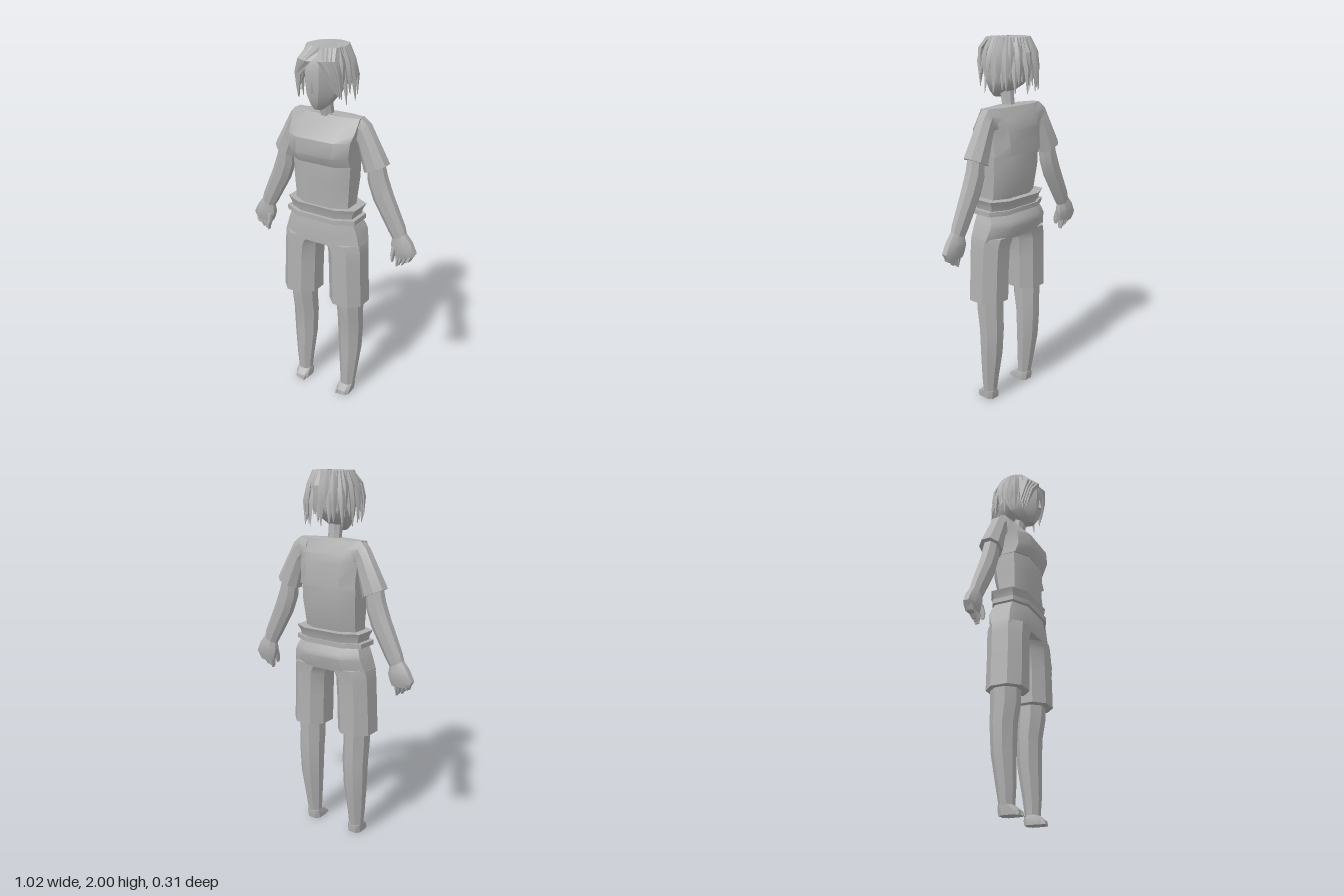
import * as THREE from 'three';
import { toCreasedNormals } from 'three/addons/utils/BufferGeometryUtils.js';

const skin = new THREE.MeshStandardMaterial({ color: 0xb0b0b0, side: THREE.DoubleSide });
skin.name = 'plain grey';

// Joins rings of equal point count into a closed, outward-facing body.
function loft(rings, crease = 0.6) {
  const n = rings[0].length, pos = [], idx = [];
  rings.flat().forEach(p => pos.push(...p));
  for (let i = 0; i < rings.length - 1; i++)
    for (let j = 0; j < n; j++) {
      const a = i * n + j, b = i * n + (j + 1) % n;
      idx.push(a, a + n, b, b, a + n, b + n);
    }
  const top = (rings.length - 1) * n;
  for (let j = 1; j < n - 1; j++) idx.push(0, j, j + 1, top, top + j + 1, top + j);
  // Signed volume tells whether the faces point inward.
  const v = k => new THREE.Vector3().fromArray(pos, k * 3);
  let volume = 0;
  for (let t = 0; t < idx.length; t += 3)
    volume += v(idx[t]).dot(v(idx[t + 1]).cross(v(idx[t + 2])));
  if (volume < 0) idx.reverse();
  const g = new THREE.BufferGeometry();
  g.setAttribute('position', new THREE.Float32BufferAttribute(pos, 3));
  g.setIndex(idx);
  return toCreasedNormals(g, crease);
}

// Chamfered cross-section spanning (x0,y0)-(x1,y1) and z0..z1.
function section([x0, y0, x1, y1, z0, z1], k = 0.28, side = 1) {
  const uv = [[1, k], [1, 1 - k], [1 - k, 1], [k, 1], [0, 1 - k], [0, k], [k, 0], [1 - k, 0]];
  return uv.map(([u, w]) => [side * (x0 + (x1 - x0) * u), y0 + (y1 - y0) * u, z0 + (z1 - z0) * w]);
}

export function createModel() {
  const model = new THREE.Group();
  model.name = 'figure';
  const add = (name, geometry, parent = model) => {
    const m = new THREE.Mesh(geometry, skin);
    m.name = name;
    parent.add(m);
    return m;
  };
  // Symmetric trunk part from rows of [y, halfWidth, zBack, zFront].
  const trunk = (name, rows, k) =>
    add(name, loft(rows.map(([y, w, b, f]) => section([-w, y, w, y, b, f], k))));
  // Limb from rows of [xOuter, yOuter, xInner, yInner, zBack, zFront].
  const limb = (name, rows, side, k) => add(name, loft(rows.map(r => section(r, k, side))));
  // Upright limb from rows of [y, xOuter, xInner, zBack, zFront].
  const upright = (name, rows, side, k) =>
    limb(name, rows.map(([y, o, i, b, f]) => [o, y, i, y, b, f]), side, k);

  // Trunk
  trunk('shirt chest', [[1.41, 0.175, -0.105, 0.112], [1.46, 0.175, -0.105, 0.138],
    [1.54, 0.182, -0.095, 0.13], [1.58, 0.19, -0.085, 0.09], [1.65, 0.195, -0.05, 0.03],
    [1.655, 0.07, -0.035, 0.03]], 0.2);
  trunk('shirt belly', [[1.15, 0.16, -0.06, 0.1], [1.2, 0.16, -0.075, 0.1],
    [1.32, 0.168, -0.1, 0.112], [1.412, 0.172, -0.1, 0.11]], 0.24);
  trunk('shirt hem', [[1.11, 0.183, -0.085, 0.1], [1.145, 0.188, -0.09, 0.105],
    [1.178, 0.205, -0.105, 0.115]], 0.22);
  trunk('belt', [[1.1, 0.208, -0.095, 0.12], [1.125, 0.208, -0.095, 0.12]], 0.22);
  trunk('shorts seat', [[0.965, 0.232, -0.09, 0.112], [1.04, 0.213, -0.115, 0.112],
    [1.065, 0.203, -0.11, 0.11], [1.11, 0.183, -0.085, 0.105]], 0.24);
  trunk('neck', [[1.6, 0.04, -0.035, 0.03], [1.66, 0.035, -0.022, 0.04],
    [1.75, 0.035, -0.015, 0.06]], 0.3);

  for (const s of [1, -1]) {
    const n = s > 0 ? 'left ' : 'right ';
    // Arms
    limb(n + 'sleeve', [[0.13, 1.65, 0.13, 1.5, -0.07, 0.03], [0.19, 1.652, 0.17, 1.52, -0.06, 0.03],
      [0.228, 1.62, 0.18, 1.5, -0.07, 0.022], [0.335, 1.425, 0.215, 1.372, -0.085, 0.03]], s);
    limb(n + 'arm', [[0.31, 1.44, 0.23, 1.4, -0.065, 0.015], [0.33, 1.36, 0.235, 1.32, -0.07, 0.015],
      [0.365, 1.27, 0.268, 1.23, -0.07, 0.012], [0.44, 1.11, 0.36, 1.07, -0.065, 0],
      [0.455, 1.06, 0.385, 1.03, -0.06, -0.005]], s);
    limb(n + 'hand', [[0.45, 1.075, 0.38, 1.04, -0.06, -0.005], [0.485, 1.03, 0.375, 1.0, -0.068, 0],
      [0.512, 0.975, 0.385, 0.965, -0.066, 0], [0.495, 0.945, 0.395, 0.94, -0.06, -0.005]], s);
    [[0.49, 0.465, 0.92], [0.468, 0.445, 0.9], [0.445, 0.425, 0.895], [0.42, 0.415, 0.885]].forEach(
      ([x, tx, ty], i) => limb(n + 'finger ' + (i + 1), [
        [x + 0.014, 0.965, x - 0.014, 0.965, -0.055, -0.012],
        [(x + tx) / 2 + 0.012, 0.93, (x + tx) / 2 - 0.012, 0.93, -0.045, -0.005],
        [tx + 0.004, ty, tx - 0.004, ty, -0.032, -0.01]], s));
    limb(n + 'thumb', [[0.41, 1.0, 0.385, 0.99, -0.03, 0.0], [0.405, 0.95, 0.384, 0.945, -0.025, 0.01],
      [0.4, 0.915, 0.392, 0.915, -0.012, 0.008]], s);
    // Legs
    upright(n + 'shorts leg', [[0.62, 0.25, 0.05, -0.085, 0.115], [0.8, 0.242, 0.046, -0.085, 0.115],
      [0.92, 0.237, 0.04, -0.088, 0.114], [0.95, 0.235, 0.025, -0.09, 0.113],
      [0.98, 0.23, 0, -0.093, 0.112]], s, 0.27);
    upright(n + 'leg', [[0.045, 0.185, 0.108, -0.022, 0.05], [0.13, 0.195, 0.103, -0.035, 0.055],
      [0.3, 0.212, 0.088, -0.062, 0.055], [0.45, 0.217, 0.082, -0.07, 0.06],
      [0.55, 0.218, 0.083, -0.068, 0.078], [0.66, 0.222, 0.085, -0.07, 0.08]], s, 0.3);
    upright(n + 'foot', [[0, 0.182, 0.103, -0.02, 0.088], [0.022, 0.184, 0.102, -0.024, 0.084],
      [0.05, 0.185, 0.107, -0.024, 0.05]], s, 0.2);
    for (let i = 0; i < 4; i++) {
      const x = 0.116 + i * 0.017;
      upright(n + 'toe ' + (i + 1), [[0, x + 0.008, x - 0.008, 0.06, 0.097 - i * 0.004],
        [0.02, x + 0.007, x - 0.007, 0.06, 0.092 - i * 0.004]], s, 0.2);
    }
  }

  // Head
  trunk('head', [[1.688, 0.022, 0.055, 0.105], [1.715, 0.05, 0.0, 0.122], [1.76, 0.078, -0.07, 0.135],
    [1.81, 0.09, -0.105, 0.14], [1.88, 0.093, -0.115, 0.142], [1.94, 0.088, -0.11, 0.128],
    [1.985, 0.07, -0.08, 0.08]], 0.3);
  add('nose', loft([[[-0.012, 1.775, 0.13], [0.012, 1.775, 0.13], [0, 1.78, 0.154]],
    [[-0.005, 1.835, 0.132], [0.005, 1.835, 0.132], [0, 1.835, 0.143]]]));

  // Hair: pointed locks with a ridge, each following a spine from the crown
  const hair = new THREE.Group();
  hair.name = 'hair';
  model.add(hair);
  const lock = (name, spine, widths) => add(name, loft(spine.map(([x, y, z], i) => {
    const [rx, , rz] = i ? spine[i] : spine[1];
    const a = Math.atan2(rz, rx), c = Math.cos(a), d = Math.sin(a), w = widths[i];
    const up = i < 2 ? 0.6 : 0.1;
    return [[x - d * w, y, z + c * w], [x + c * w * 0.6, y + w * up * 0.3, z + d * w * 0.6],
      [x + d * w, y, z - c * w], [x - c * w * 0.8, y - w * up, z - d * w * 0.8]];
  }), 0.35), hair);
  const count = 30;
  for (let i = 0; i < count; i++) {
    const a = Math.PI * (0.19 - 1.38 * i / (count - 1)), c = Math.cos(a), d = Math.sin(a);
    const r = [0, 1, 2].map(j => 0.93 + 0.07 * Math.sin(i * 2.4 + j));
    const at = (k, y) => [c * k * 0.95 + 0.003, y, d * k * 1.04];
    const tip = 1.755 + 0.035 * Math.sin(i * 2.3);
    lock('lock ' + (i + 1), [[0.025, 1.993, -0.01], at(0.1, 1.99), at(0.134 * r[0], 1.92),
      at(0.148 * r[1], 1.84), at(0.152 * r[2], tip)], [0.003, 0.014, 0.019, 0.018, 0.002]);
  }

  // Fringe sweeping to both sides from the parting
  for (let i = 0; i < 4; i++) {
    const t = i / 3;
    lock('right fringe ' + (i + 1), [[0.025, 1.995, -0.01], [0.012 - 0.07 * t, 1.988, 0.09 - 0.025 * t],
      [-0.03 - 0.06 * t, 1.93, 0.138 - 0.035 * t], [-0.085 - 0.03 * t, 1.86, 0.128 - 0.03 * t],
      [-0.105 - 0.025 * t, 1.74 + 0.03 * t, 0.105 - 0.025 * t]], [0.003, 0.022, 0.026, 0.022, 0.002]);
    lock('left fringe ' + (i + 1), [[0.025, 1.995, -0.01], [0.03 + 0.055 * t, 1.988, 0.09 - 0.025 * t],
      [0.055 + 0.045 * t, 1.935, 0.138 - 0.035 * t], [0.09 + 0.025 * t, 1.87, 0.125 - 0.03 * t],
      [0.11 + 0.02 * t, 1.78 - 0.03 * t, 0.105 - 0.025 * t]], [0.003, 0.02, 0.025, 0.02, 0.002]);
  }
  return model;
}
